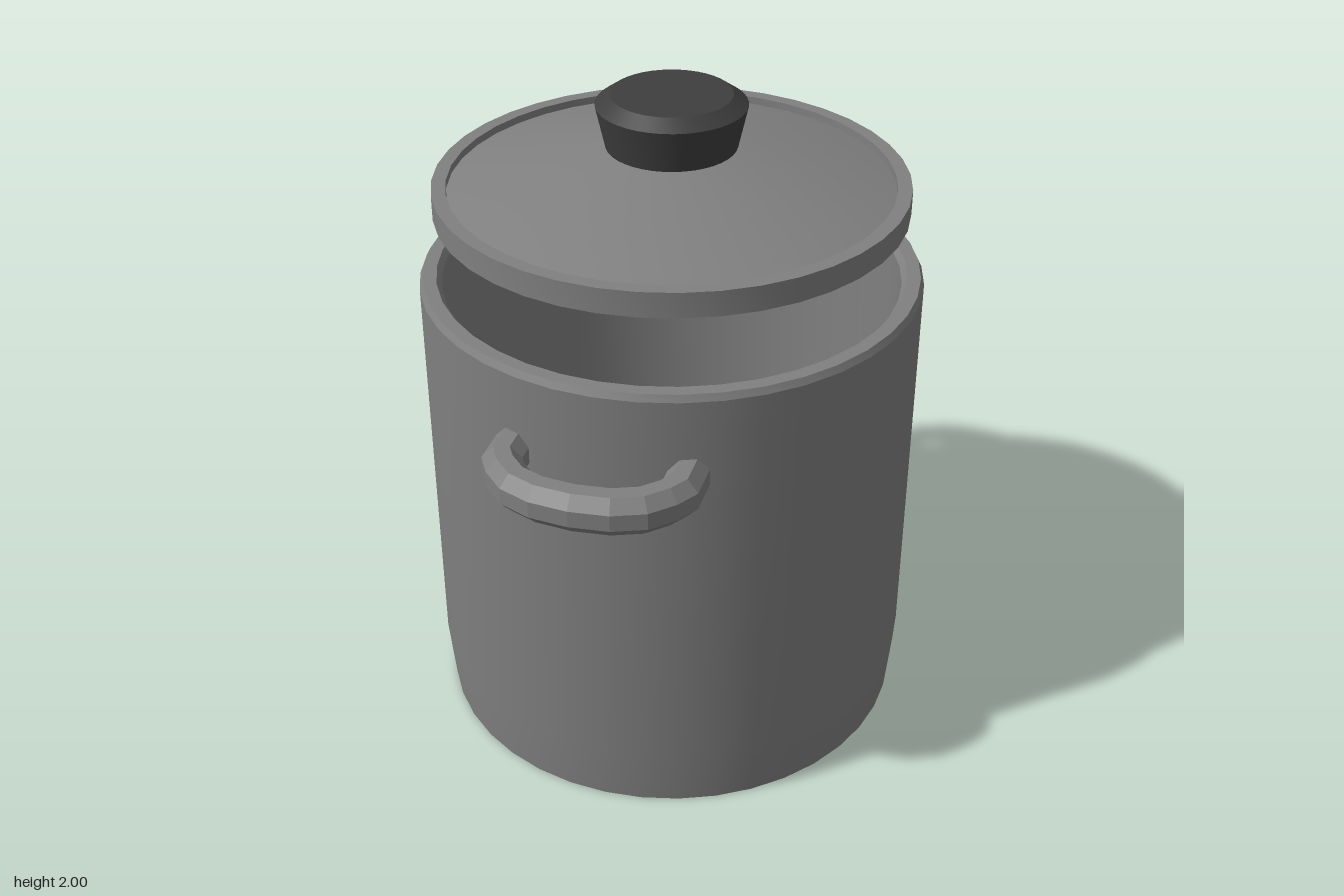
import * as THREE from 'three';
import { toCreasedNormals } from 'three/addons/utils/BufferGeometryUtils.js';

const SIDES = 40;

// Turned part from [radius, y] pairs, underside axis -> outside -> top axis
function turned(name, profile, material) {
  const points = profile.map(([r, y]) => new THREE.Vector2(r, y));
  const geometry = toCreasedNormals(new THREE.LatheGeometry(points, SIDES), 0.3);
  const mesh = new THREE.Mesh(geometry, material);
  mesh.name = name;
  return mesh;
}

// Octagonal bar swept with mitred corners along [x, z] points at height y
function sweptBar(path, y, halfWidth, halfHeight) {
  const pts = path.map(([x, z]) => new THREE.Vector2(x, z));
  const n = 8, position = [], index = [];
  pts.forEach((p, i) => {
    const before = p.clone().sub(pts[Math.max(i - 1, 0)]).normalize();
    const after = pts[Math.min(i + 1, pts.length - 1)].clone().sub(p).normalize();
    const tangent = before.clone().add(after).normalize();
    const mitre = 1 / tangent.dot(i ? before : after);
    for (let k = 0; k < n; k++) {
      const a = ((k + 0.5) / n) * Math.PI * 2;
      const scale = 1 / Math.cos(Math.PI / n);
      const side = Math.cos(a) * halfWidth * scale * mitre;
      position.push(p.x + tangent.y * side, y + Math.sin(a) * halfHeight * scale, p.y - tangent.x * side);
    }
  });
  for (let i = 0; i < pts.length - 1; i++) {
    for (let k = 0; k < n; k++) {
      const a = i * n + k, b = i * n + (k + 1) % n;
      index.push(a, b, a + n, b, b + n, a + n);
    }
  }
  const geometry = new THREE.BufferGeometry();
  geometry.setAttribute('position', new THREE.Float32BufferAttribute(position, 3));
  geometry.setIndex(index);
  geometry.computeVertexNormals();
  return toCreasedNormals(geometry, 0.1);
}

export function createModel() {
  const steel = new THREE.MeshStandardMaterial({ color: 0x808080 });
  steel.name = 'greySteel';
  steel.side = THREE.DoubleSide;
  const dark = new THREE.MeshStandardMaterial({ color: 0x3e3e3e });
  dark.name = 'darkKnob';

  const model = new THREE.Group();
  model.name = 'stockPot';

  // Hollow pot with a tapered foot and a rounded rim
  model.add(turned('pot', [
    [0, 0], [0.728, 0], [0.745, 0.2], [0.745, 1.44], [0.735, 1.46],
    [0.695, 1.46], [0.68, 1.44], [0.68, 0.05], [0, 0.05],
  ], steel));

  // Lid raised above the pot: conical cover set inside a rim band
  const lid = new THREE.Group();
  lid.name = 'lid';
  lid.add(turned('lidCover', [
    [0, 1.82], [0.19, 1.82], [0.65, 1.695], [0.65, 1.665], [0.692, 1.665],
    [0.692, 1.74], [0.65, 1.74], [0.65, 1.717], [0.2, 1.845], [0, 1.845],
  ], steel));

  // Flared knob with a chamfered top
  lid.add(turned('lidKnob', [
    [0, 1.835], [0.188, 1.835], [0.218, 1.97], [0.175, 2], [0, 2],
  ], dark));
  model.add(lid);

  // Matching loop handles at the front and back
  const half = [[0.252, 0.66], [0.252, 0.78], [0.225, 0.825], [0.175, 0.875], [0.1, 0.905]];
  const path = [...half, [0, 0.915], ...half.map(([x, z]) => [-x, z]).reverse()];
  const bar = sweptBar(path, 1.2, 0.054, 0.06);
  ['frontHandle', 'backHandle'].forEach((name, i) => {
    const handle = new THREE.Mesh(bar, steel);
    handle.name = name;
    handle.rotation.y = i * Math.PI;
    model.add(handle);
  });

  return model;
}
